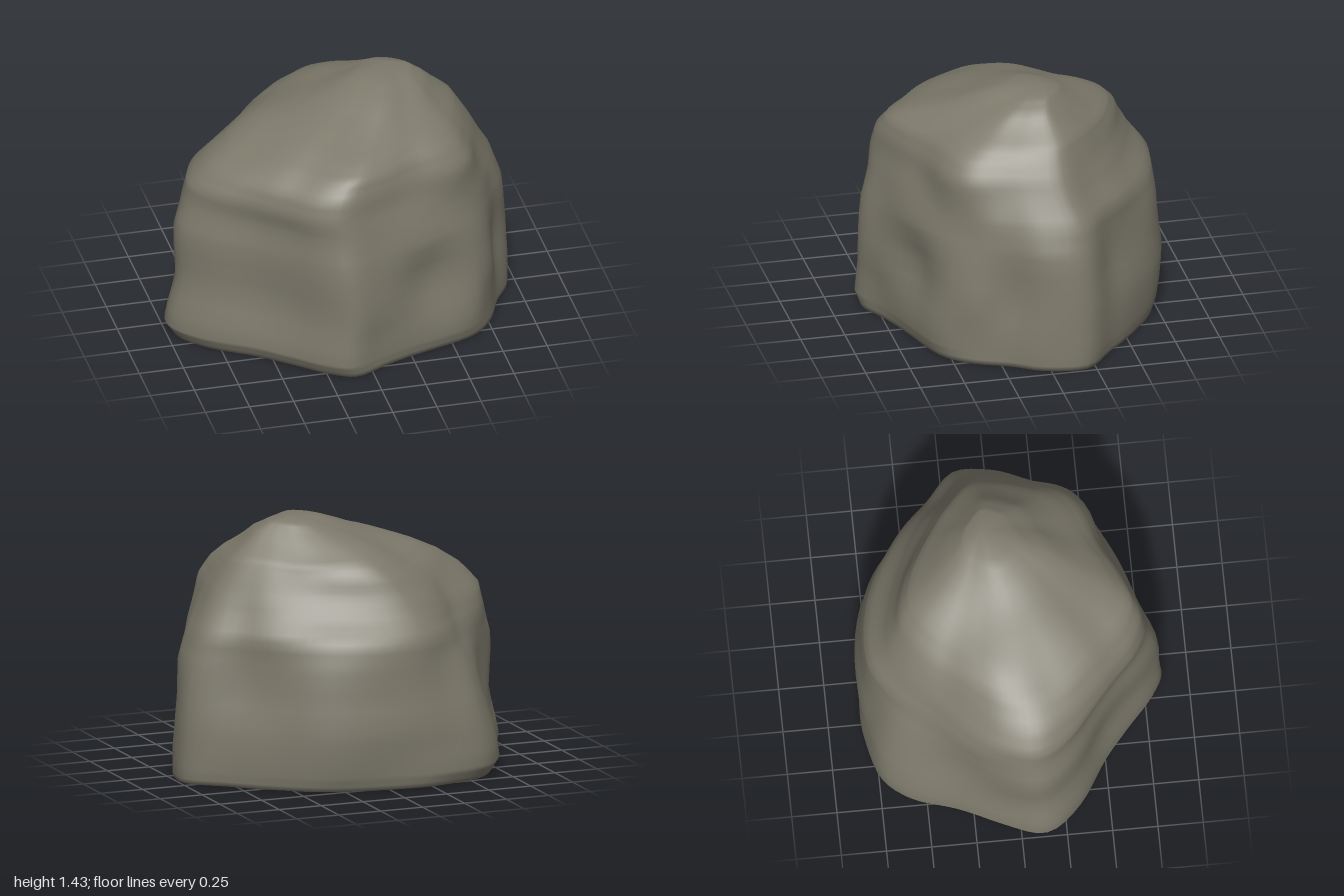
import * as THREE from 'three';

// Outline [x, z] at the widest part of the boulder, and at its upper rim
const baseOutline = [
  [1, -.22], [.97, .03], [.87, .2], [.78, .4], [.66, .53], [.4, .65], [.08, .77], [-.12, .85],
  [-.25, .79], [-.42, .64], [-.6, .5], [-.85, .33], [-1, .13], [-.94, -.1], [-.82, -.37], [-.73, -.61],
  [-.61, -.75], [-.4, -.82], [-.2, -.85], [.15, -.81], [.4, -.73], [.62, -.57], [.8, -.4],
];
const rimOutline = [
  [.74, -.12], [.73, .05], [.68, .2], [.61, .34], [.5, .43], [.3, .52], [.09, .64], [-.1, .7],
  [-.24, .65], [-.37, .53], [-.48, .43], [-.62, .27], [-.69, .1], [-.65, -.07], [-.54, -.22], [-.42, -.35],
  [-.33, -.46], [-.22, -.55], [-.08, -.6], [.15, -.56], [.33, -.48], [.48, -.37], [.6, -.27],
];

// Cross-sections: height, min x, max x, min z, max z, blend from base to rim outline
const sections = [
  [0, -.95, .99, -.8, .82, 0],
  [.08, -1, .99, -.83, .85, 0],
  [.35, -.95, .985, -.85, .85, .1],
  [.65, -.94, .95, -.82, .82, .35],
  [.82, -.9, .9, -.79, .78, .55],
  [.94, -.87, .83, -.69, .76, .75],
  [1.05, -.76, .77, -.63, .74, .95],
  [1.14, -.63, .71, -.59, .69, 1],
  [1.21, -.47, .66, -.53, .58, 1],
  [1.29, -.26, .57, -.4, .41, 1],
  [1.36, -.05, .5, -.28, .25, 1],
  [1.41, .13, .42, -.2, .08, 1],
];

// Local hollows (positive) and bulges (negative): x, y, z, radius, depth
const dents = [
  [.73, .58, -.46, .24, .05], [.54, .93, -.47, .2, -.03], [.35, .42, .66, .2, .05],
  [.85, .35, .2, .15, .03], [.6, .2, .55, .15, -.03], [.3, .7, .6, .25, -.03],
  [.5, 1.08, .42, .2, -.05], [-.52, .35, .55, .25, .02], [-.5, .7, .52, .25, .02],
  [-.88, .45, -.27, .22, .03], [-.62, .75, -.58, .3, .09], [-.3, .5, -.8, .3, .03],
  [.3, 1.25, -.4, .2, .04],
];

const SIDES = 92, STEPS = 3;

function smoothOutline(points) {
  const curve = new THREE.CatmullRomCurve3(points.map(([x, z]) => new THREE.Vector3(x, 0, z)), true);
  return Array.from({ length: SIDES }, (_, i) => curve.getPoint(i / SIDES));
}

// Stretches an outline so that it fills the given extents
function fit(points, [, x0, x1, z0, z1]) {
  const box = new THREE.Box3().setFromPoints(points);
  return points.map((p) => new THREE.Vector3(
    THREE.MathUtils.mapLinear(p.x, box.min.x, box.max.x, x0, x1), 0,
    THREE.MathUtils.mapLinear(p.z, box.min.z, box.max.z, z0, z1)));
}

function weather(p) {
  const { x, y, z } = p;
  let push = .007 * Math.sin(7 * x + 5 * y + 1) * Math.sin(8 * z - 4 * y)
    + .005 * Math.sin(13 * y + 6 * x - 5 * z);
  for (const [dx, dy, dz, r, depth] of dents) {
    push -= depth * Math.exp(-((x - dx) ** 2 + (y - dy) ** 2 + (z - dz) ** 2) / (r * r));
  }
  const wall = THREE.MathUtils.clamp((1.35 - y) * 3, 0, 1);
  const len = Math.hypot(x, z) || 1;
  p.x += push * wall * x / len;
  p.z += push * wall * z / len;
  // Gentle waves over the crown
  const crown = THREE.MathUtils.smoothstep(y, .95, 1.2);
  p.y += crown * .012 * Math.sin(9 * x + 3 * z) * Math.cos(8 * z - 2 * x);
  return p;
}

function boulderGeometry() {
  const base = smoothOutline(baseOutline), rim = smoothOutline(rimOutline);
  const rings = [];
  for (let s = 0; s < sections.length; s++) {
    const steps = s < sections.length - 1 ? STEPS : 1;
    for (let k = 0; k < steps; k++) {
      const next = sections[Math.min(s + 1, sections.length - 1)];
      const section = sections[s].map((v, i) => THREE.MathUtils.lerp(v, next[i], k / STEPS));
      const shape = base.map((p, i) => p.clone().lerp(rim[i], section[5]));
      rings.push(fit(shape, section).map((p) => weather(p.setY(section[0]))));
    }
  }
  const points = [...rings.flat(), new THREE.Vector3(.3, 1.43, -.1), new THREE.Vector3(0, 0, 0)];
  const top = points.length - 2, bottom = points.length - 1, last = (rings.length - 1) * SIDES;
  const index = [];
  for (let i = 0; i < SIDES; i++) {
    const j = (i + 1) % SIDES;
    for (let r = 0; r < last; r += SIDES) {
      index.push(r + i, r + SIDES + i, r + j, r + j, r + SIDES + i, r + SIDES + j);
    }
    index.push(last + i, top, last + j, bottom, i, j);
  }
  const geometry = new THREE.BufferGeometry().setFromPoints(points);
  geometry.setIndex(index);
  geometry.computeVertexNormals();
  return geometry;
}

export function createModel() {
  const group = new THREE.Group();
  group.name = 'rock';
  const stone = new THREE.MeshStandardMaterial({ color: 0x7d796b });
  stone.name = 'stone';
  const boulder = new THREE.Mesh(boulderGeometry(), stone);
  boulder.name = 'boulder';
  group.add(boulder);
  return group;
}
